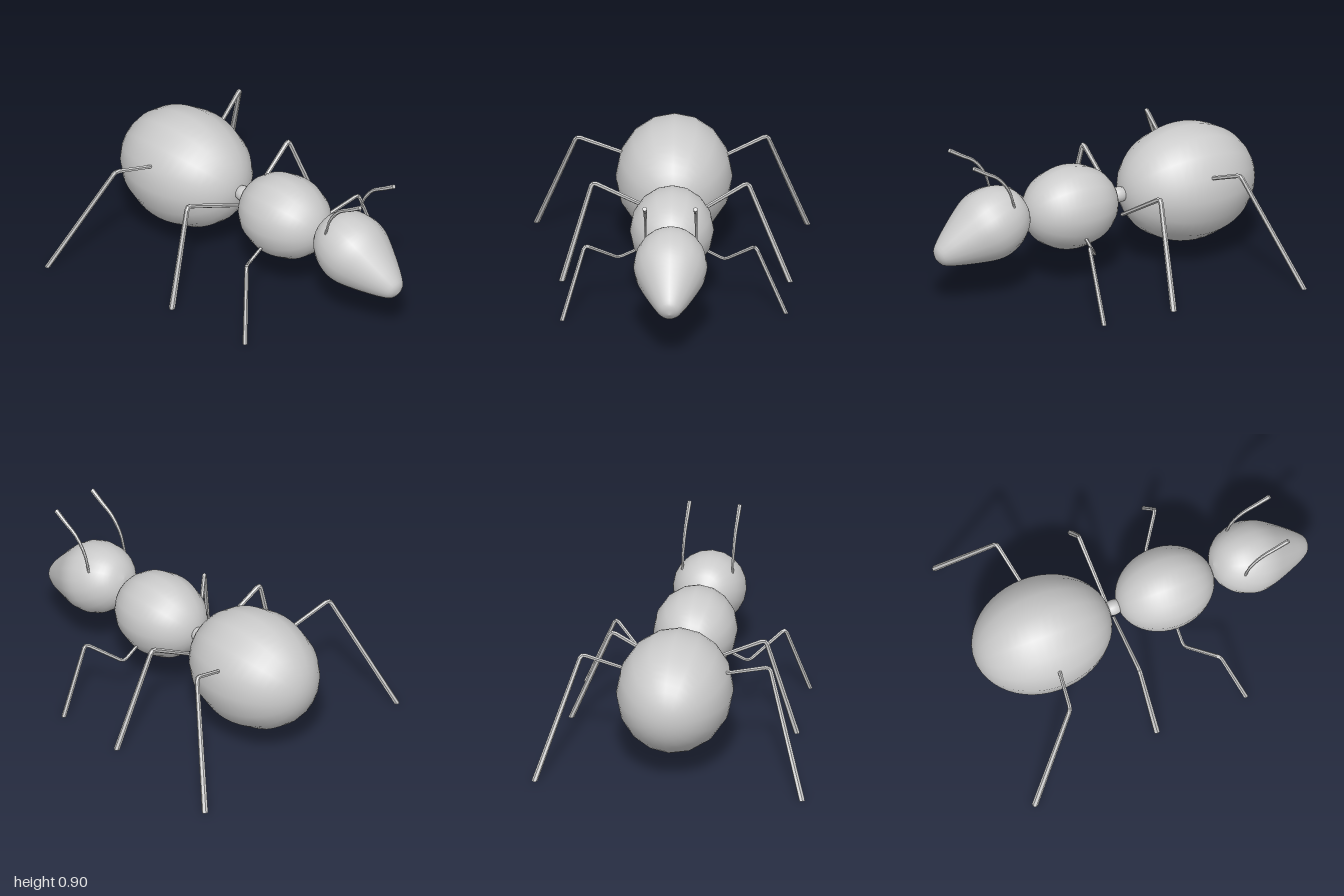
import * as THREE from 'three';

const V = (a) => new THREE.Vector3(...a);
const MID = 0.015; // body axis

// Tapered capped limb swept along points; radii run from r0 to r1
function sweep(points, r0, r1, ref, sides = 6) {
  const n = points.length;
  const lengths = [0];
  for (let i = 1; i < n; i++) lengths.push(lengths[i - 1] + points[i].distanceTo(points[i - 1]));
  const rings = points.map((p, i) => [p, i, THREE.MathUtils.lerp(r0, r1, lengths[i] / lengths[n - 1])]);
  rings.unshift([points[0], 0, 0]);
  rings.push([points[n - 1], n - 1, 0]);

  const pos = [], index = [];
  rings.forEach(([p, i, r], k) => {
    const t = new THREE.Vector3();
    if (i > 0) t.add(p.clone().sub(points[i - 1]).normalize());
    if (i < n - 1) t.add(points[i + 1].clone().sub(p).normalize());
    t.normalize();
    const s = ref.clone().addScaledVector(t, -ref.dot(t)).normalize();
    const b = t.clone().cross(s);
    for (let j = 0; j < sides; j++) {
      const a = ((j + 0.5) / sides) * Math.PI * 2;
      const q = p.clone().addScaledVector(s, r * Math.cos(a)).addScaledVector(b, r * Math.sin(a));
      pos.push(q.x, q.y < 0.02 ? 0 : q.y, q.z); // feet are cut flat on the ground
      if (k < rings.length - 1) {
        const A = k * sides + j, B = k * sides + (j + 1) % sides;
        index.push(A, B, A + sides, B, B + sides, A + sides);
      }
    }
  });
  const g = new THREE.BufferGeometry();
  g.setAttribute('position', new THREE.Float32BufferAttribute(pos, 3));
  g.setIndex(index);
  g.computeVertexNormals();
  return g;
}

// Replace each inner corner with a small rounded bend
function roundCorners(pts, d = 0.025) {
  const out = [pts[0]];
  for (let i = 1; i < pts.length - 1; i++) {
    const p = pts[i];
    const a = p.clone().add(pts[i - 1].clone().sub(p).setLength(d));
    const b = p.clone().add(pts[i + 1].clone().sub(p).setLength(d));
    const m = a.clone().add(b).multiplyScalar(0.25).addScaledVector(p, 0.5);
    out.push(a, m, b);
  }
  out.push(pts[pts.length - 1]);
  return out;
}

export function createModel() {
  const model = new THREE.Group();
  model.name = 'ant';
  const smooth = new THREE.MeshStandardMaterial({ color: 0xcccccc });
  const faceted = new THREE.MeshStandardMaterial({ color: 0xcccccc, flatShading: true });

  const add = (name, geometry, material) => {
    const mesh = new THREE.Mesh(geometry, material);
    mesh.name = name;
    model.add(mesh);
    return mesh;
  };

  // Rounded body segments with poles along z
  const ellipsoid = (name, y, z, rx, ry, rz) => {
    const g = new THREE.SphereGeometry(1, 16, 24).rotateX(Math.PI / 2).scale(rx, ry, rz);
    add(name, g, smooth).position.set(MID, y, z);
  };
  ellipsoid('abdomen', 0.45, -0.595, 0.327, 0.337, 0.405);
  ellipsoid('thorax', 0.45, 0.145, 0.235, 0.24, 0.285);
  ellipsoid('waist', 0.455, -0.165, 0.045, 0.045, 0.06);

  // Teardrop head, tilted nose down
  const profile = new THREE.SplineCurve([
    [0, 0], [0.08, 0.018], [0.14, 0.06], [0.185, 0.13], [0.206, 0.22], [0.198, 0.3],
    [0.165, 0.385], [0.12, 0.48], [0.085, 0.545], [0.05, 0.592], [0, 0.61],
  ].map(([r, t]) => new THREE.Vector2(r, t))).getPoints(30);
  profile.forEach((p) => { p.x = Math.max(p.x, 0); });
  const head = add('head', new THREE.LatheGeometry(profile, 20), smooth);
  head.position.set(MID, 0.545, 0.437);
  head.rotation.x = Math.PI / 2 + 0.4;

  // Legs: hip, joints, foot
  const legs = {
    leftBackLeg: [[0.26, 0.555, -0.595], [0.535, 0.67, -0.66], [0.755, 0, -0.945]],
    rightBackLeg: [[-0.22, 0.57, -0.595], [-0.53, 0.665, -0.64], [-0.76, 0, -0.945]],
    leftMiddleLeg: [[0.04, 0.34, -0.175], [0.435, 0.585, -0.205], [0.67, 0, -0.16]],
    rightMiddleLeg: [[-0.02, 0.39, -0.175], [-0.435, 0.59, -0.185], [-0.605, 0, -0.15]],
    leftFrontLeg: [[0.16, 0.35, 0.145], [0.31, 0.27, 0.145], [0.485, 0.41, 0.275], [0.655, 0, 0.275]],
    rightFrontLeg: [[-0.13, 0.35, 0.14], [-0.285, 0.275, 0.14], [-0.47, 0.415, 0.29], [-0.595, 0, 0.39]],
  };
  for (const [name, pts] of Object.entries(legs)) {
    const [r0, r1] = name.includes('Front') ? [0.009, 0.014] : [0.011, 0.018];
    add(name, sweep(roundCorners(pts.map(V)), r0, r1, V([0, 0, 1])), faceted);
  }

  // Curved antennae, thicker towards the tip
  for (const [name, x] of [['leftAntenna', 0.158], ['rightAntenna', -0.126]]) {
    const curve = new THREE.CatmullRomCurve3(
      [[x, 0.59, 0.575], [x, 0.7, 0.61], [x, 0.79, 0.68], [x, 0.835, 0.755], [x, 0.885, 0.835]].map(V));
    add(name, sweep(curve.getPoints(10), 0.007, 0.013, V([1, 0, 0])), faceted);
  }
  return model;
}
